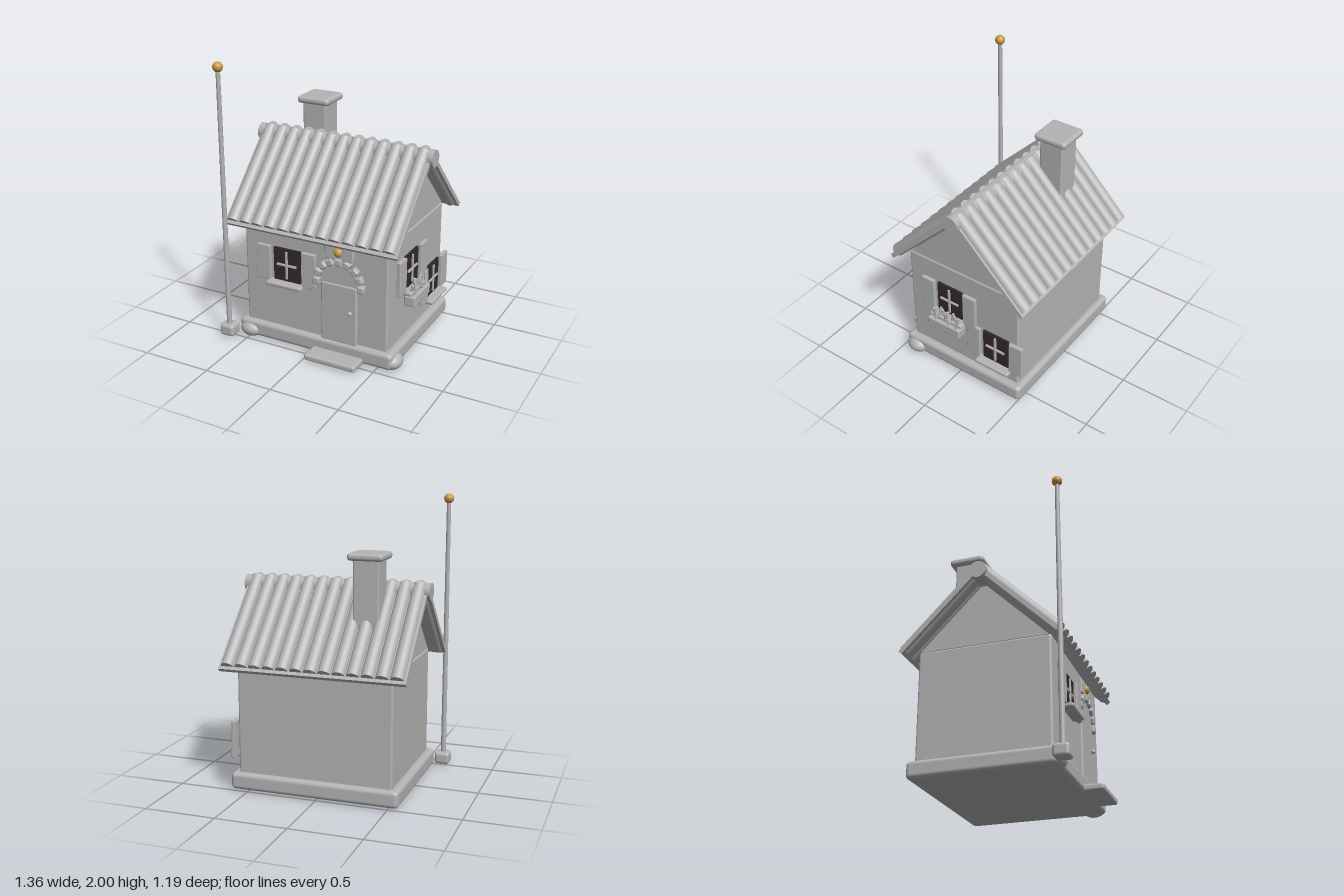
import * as THREE from 'three';
import { RoundedBoxGeometry } from 'three/addons/geometries/RoundedBoxGeometry.js';

const stone = new THREE.MeshStandardMaterial({ color: 0xb4b4b4 });
stone.name = 'stoneGrey';
const gold = new THREE.MeshStandardMaterial({ color: 0xc89a45 });
gold.name = 'gold';
const dark = new THREE.MeshStandardMaterial({ color: 0x33282b });
dark.name = 'darkGlass';

function add(parent, name, geometry, material, x, y, z) {
  const mesh = new THREE.Mesh(geometry, material);
  mesh.name = name;
  mesh.position.set(x, y, z);
  parent.add(mesh);
  return mesh;
}

// Soft-edged block centred on a point
function block(parent, name, w, h, d, x, y, z, r = 0.01) {
  return add(parent, name, new RoundedBoxGeometry(w, h, d, 3, r), stone, x, y, z);
}

// Flat-faced shape pushed out along z
function extruded(points, depth) {
  return new THREE.ExtrudeGeometry(new THREE.Shape(points), { depth, bevelEnabled: false });
}

// Shuttered window facing +z, its origin on the wall at the pane centre
function makeWindow(name) {
  const g = new THREE.Group();
  g.name = name;
  add(g, 'pane', new THREE.BoxGeometry(0.205, 0.24, 0.03), dark, 0, 0, 0.001);
  block(g, 'verticalBar', 0.016, 0.205, 0.016, 0, 0, 0.02, 0.004);
  block(g, 'horizontalBar', 0.155, 0.016, 0.016, 0, 0, 0.02, 0.004);
  block(g, 'sill', 0.275, 0.03, 0.085, 0, -0.135, 0.035, 0.012);
  for (const s of [-1, 1]) block(g, 'shutter', 0.106, 0.255, 0.03, s * 0.175, 0, 0.02, 0.006);
  return g;
}

export function createModel() {
  const house = new THREE.Group();
  house.name = 'cottage';
  const zc = -0.03;

  // Plinth, walls and gable
  block(house, 'plinth', 1.19, 0.12, 0.99, 0.02, 0.08, -0.025, 0.03);
  block(house, 'walls', 1.09, 0.79, 0.91, 0.02, 0.505, -0.025, 0.015);
  const gable = add(house, 'gable', extruded([
    new THREE.Vector2(-0.443, 0.9), new THREE.Vector2(0.443, 0.9), new THREE.Vector2(0, 1.343),
  ], 1.08), stone, -0.52, 0, zc);
  gable.rotation.y = Math.PI / 2;

  // Roof slopes: local z runs down the slope, local y points out of it
  for (const side of [1, -1]) {
    const slope = new THREE.Group();
    slope.name = side > 0 ? 'frontRoof' : 'backRoof';
    const pitch = new THREE.Group();
    pitch.rotation.x = Math.PI / 4;
    slope.add(pitch);
    slope.position.set(0.013, 1.385, zc);
    if (side < 0) slope.rotation.y = Math.PI;
    add(pitch, 'roofSlab', new THREE.BoxGeometry(1.295, 0.03, 0.745), stone, 0, 0.015, 0.3725);
    for (let i = -6; i <= 6; i++) {
      const tile = add(pitch, 'roofTile', new THREE.CylinderGeometry(0.045, 0.045, 0.749, 20),
        stone, i * 0.0977, 0.027, 0.3465);
      tile.rotation.x = Math.PI / 2;
    }
    house.add(slope);
  }
  const ridge = add(house, 'ridge', new THREE.CylinderGeometry(0.06, 0.06, 1.335, 24), stone, 0.013, 1.383, zc);
  ridge.rotation.z = Math.PI / 2;

  // Chimney
  block(house, 'chimney', 0.18, 0.52, 0.18, -0.28, 1.36, -0.21, 0.012);
  block(house, 'chimneyCap', 0.245, 0.05, 0.245, -0.28, 1.63, -0.213, 0.022);

  // Door with an arched top
  const doorX = 0.213;
  block(house, 'door', 0.27, 0.44, 0.05, doorX, 0.35, 0.43, 0.012);
  const arc = [];
  for (let i = 0; i <= 24; i++) {
    const a = (i / 24) * Math.PI;
    arc.push(new THREE.Vector2(Math.cos(a) * 0.14, Math.sin(a) * 0.14));
  }
  add(house, 'doorArch', extruded(arc, 0.045), stone, doorX, 0.567, 0.403);
  add(house, 'doorKnob', new THREE.SphereGeometry(0.016, 16, 12), stone, 0.305, 0.38, 0.467);
  for (let i = 0; i < 9; i++) {
    const a = (i / 8) * Math.PI;
    const s = block(house, 'archStone', 0.05, 0.052, 0.06,
      doorX + Math.cos(a) * 0.167, 0.567 + Math.sin(a) * 0.167, 0.44, 0.012);
    s.rotation.z = a;
  }
  block(house, 'doorPlaque', 0.215, 0.11, 0.03, doorX, 0.8, 0.44, 0.008);
  add(house, 'plaqueBoss', new THREE.SphereGeometry(0.031, 20, 14), gold, doorX, 0.803, 0.455).scale.z = 0.8;
  block(house, 'doorStep', 0.385, 0.045, 0.2, doorX, 0.043, 0.5, 0.015);

  // Windows on the front and on the left wall
  const front = makeWindow('frontWindow');
  front.position.set(-0.1875, 0.62, 0.43);
  const upper = makeWindow('upperSideWindow');
  upper.position.set(0.565, 0.62, 0.081);
  const lower = makeWindow('lowerSideWindow');
  lower.position.set(0.565, 0.38, -0.303);
  for (const w of [upper, lower]) w.rotation.y = Math.PI / 2;
  house.add(front, upper, lower);

  // Flower box with leaning stems
  block(upper, 'flowerBox', 0.27, 0.075, 0.08, 0, -0.188, 0.06, 0.01);
  for (let i = 0; i < 9; i++) {
    const h = 0.07 + 0.025 * Math.abs(Math.sin(i * 2.3));
    const stem = add(upper, 'flowerStem', new THREE.CapsuleGeometry(0.01, h, 4, 8), stone,
      -0.104 + i * 0.026, -0.15 + h / 2, 0.064 + 0.012 * Math.sin(i * 1.7));
    stem.rotation.z = 0.2 * Math.sin(i * 2.9);
    stem.rotation.x = 0.15 * Math.cos(i * 1.9);
  }

  // Boulders at the front corners
  const rock = new THREE.SphereGeometry(1, 24, 16);
  add(house, 'boulder', rock, stone, -0.492, 0.062, 0.44).scale.set(0.082, 0.056, 0.065);
  add(house, 'boulder', rock, stone, 0.592, 0.062, 0.385).scale.set(0.068, 0.056, 0.082);

  // Flagpole
  block(house, 'poleBase', 0.108, 0.087, 0.108, -0.628, 0.063, 0.518, 0.022);
  add(house, 'pole', new THREE.CylinderGeometry(0.015, 0.019, 1.86, 16), stone, -0.63, 1.03, 0.52);
  add(house, 'poleBall', new THREE.SphereGeometry(0.035, 24, 16), gold, -0.63, 1.967, 0.52);

  return house;
}
